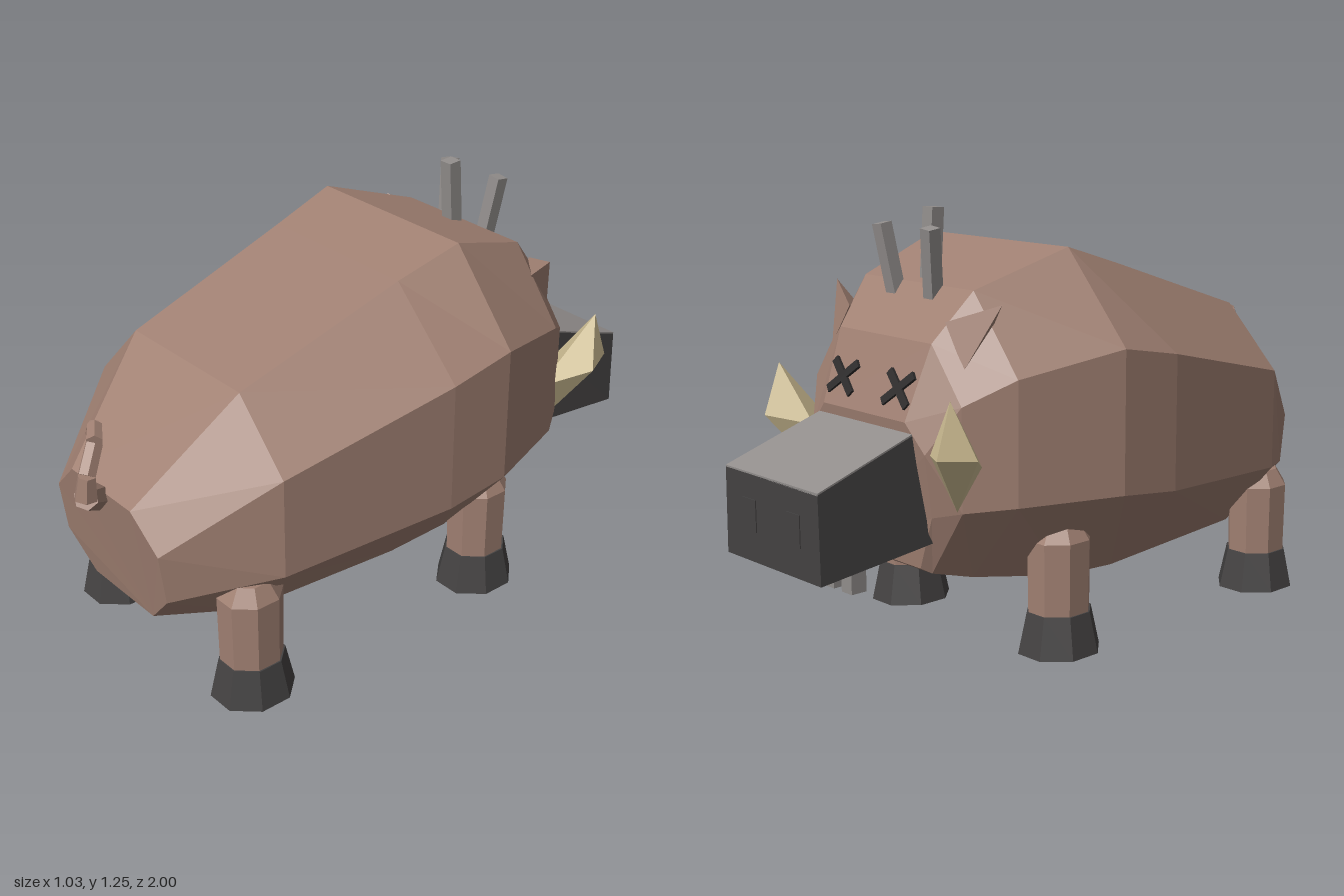
import * as THREE from 'three';
import { ConvexGeometry } from 'three/addons/geometries/ConvexGeometry.js';

const mat = (name, color) => {
  const m = new THREE.MeshStandardMaterial({ color, flatShading: true });
  m.name = name;
  return m;
};

// Skin a list of rings (ordered from +z to -z, counter-clockwise seen from +z) and cap both ends
function loft(rings) {
  const n = rings[0].length, pos = [];
  const tri = (a, b, c) => pos.push(...a, ...b, ...c);
  for (let i = 0; i < rings.length - 1; i++) {
    for (let j = 0; j < n; j++) {
      const k = (j + 1) % n, p = rings[i], q = rings[i + 1];
      tri(p[j], q[j], p[k]);
      tri(p[k], q[j], q[k]);
    }
  }
  const first = rings[0], last = rings[rings.length - 1];
  for (let j = 1; j < n - 1; j++) {
    tri(first[0], first[j], first[j + 1]);
    tri(last[0], last[j + 1], last[j]);
  }
  const g = new THREE.BufferGeometry();
  g.setAttribute('position', new THREE.Float32BufferAttribute(pos, 3));
  g.computeVertexNormals();
  return g;
}

// Symmetric ring from right-hand [x, y, z] points listed bottom to top
const mirrorRing = (pts) => [...pts, ...pts.slice().reverse().map(([x, y, z]) => [-x, y, z])];

export function createModel() {
  const model = new THREE.Group();
  const hide = mat('brownHide', 0xa08072);
  const dark = mat('darkHoof', 0x444242);
  const grey = mat('greyBristle', 0x928e8c);
  const ivory = mat('ivory', 0xd2c196);
  const black = mat('eyeBlack', 0x2e2c2c);

  const add = (name, geo, material, parent = model) => {
    const m = new THREE.Mesh(geo, material);
    m.name = name;
    parent.add(m);
    return m;
  };

  // Straight prism between two points
  const strut = (name, a, b, r0, r1, sides, material) => {
    const p = new THREE.Vector3(...a), q = new THREE.Vector3(...b);
    const dir = q.clone().sub(p);
    const geo = new THREE.CylinderGeometry(r1, r0, dir.length(), sides);
    if (sides === 4) geo.rotateY(Math.PI / 4);
    const m = add(name, geo, material);
    m.position.copy(p).add(q).multiplyScalar(0.5);
    m.quaternion.setFromUnitVectors(new THREE.Vector3(0, 1, 0), dir.normalize());
    return m;
  };

  // Body: octagonal sections as z, bottom [half width, y], side [half width, low y, high y], top [half width, y]
  const sections = [
    [0.56, 0.25, 0.2, 0.43, 0.405, 0.71, 0.245, 0.9],
    [0.02, 0.26, 0.17, 0.513, 0.445, 0.84, 0.27, 1.075],
    [-0.19, 0.27, 0.185, 0.515, 0.47, 0.88, 0.29, 1.138],
    [-0.49, 0.22, 0.235, 0.41, 0.47, 0.82, 0.235, 1.04],
    [-0.61, 0.19, 0.265, 0.32, 0.46, 0.75, 0.2, 0.905],
  ];
  const rump = [[0.145, 0.235, 0.81], [0.25, 0.345, 0.83], [0.25, 0.5, 0.85], [0.145, 0.602, 0.862]];
  const face = [[0.17, 0.28, -0.635], [0.24, 0.44, -0.65], [0.25, 0.62, -0.68], [0.18, 0.7, -0.69]];
  const middle = sections.map(([z, bw, by, sw, lo, hi, tw, ty]) =>
    [[bw, by, z], [sw, lo, z], [sw, hi, z], [tw, ty, z]]);
  add('body', loft([rump, ...middle, face].map(mirrorRing)), hide);

  // Snout with a pale bridge
  const back = [[0.22, 0.365, -0.6], [0.205, 0.695, -0.6]];
  const tip = [[0.215, 0.32, -1], [0.21, 0.563, -1]];
  add('snout', loft([back, tip].map(mirrorRing)), dark);
  add('snoutBridge', loft([
    mirrorRing([[0.205, 0.693, -0.6], [0.205, 0.7, -0.6]]),
    mirrorRing([[0.21, 0.561, -1], [0.21, 0.568, -1]]),
  ]), grey);

  // Small teeth under the snout
  for (const x of [-0.08, 0, 0.08]) {
    add('tooth', new THREE.BoxGeometry(0.045, 0.14, 0.05), grey).position.set(x, 0.3, -0.795);
  }

  // Bristles on the crown
  strut('bristle', [0, 1.03, -0.445], [0, 1.245, -0.43], 0.03, 0.03, 4, grey);

  for (const s of [-1, 1]) {
    const mirrored = (pts) => new ConvexGeometry(pts.map(([x, y, z]) => new THREE.Vector3(s * x, y, z)));

    strut('bristle', [s * 0.08, 0.99, -0.5], [s * 0.105, 1.2, -0.53], 0.028, 0.028, 4, grey);
    add('nostril', new THREE.BoxGeometry(0.06, 0.09, 0.006), dark).position.set(s * 0.1, 0.45, -1);

    add('ear', mirrored([
      [0.21, 0.96, -0.57], [0.29, 0.84, -0.575], [0.28, 0.93, -0.47], [0.36, 1.015, -0.5],
    ]), hide);

    add('tusk', mirrored([
      [0.31, 0.465, -0.62], [0.385, 0.64, -0.752], [0.43, 0.63, -0.65],
      [0.32, 0.57, -0.535], [0.26, 0.62, -0.67], [0.38, 0.79, -0.7],
    ]), ivory);

    // Crossed eyes lying on the sloping face
    const eye = new THREE.Group();
    eye.name = 'eye';
    for (const a of [-0.7, 0.7]) {
      add('eyeStroke', new THREE.BoxGeometry(0.135, 0.024, 0.009), black, eye).rotation.z = a;
    }
    eye.position.set(s * 0.122, 0.78, -0.663);
    eye.rotation.x = 0.34;
    model.add(eye);

    // Legs and hooves
    for (const [name, z] of [['hindLeg', 0.61], ['frontLeg', -0.265]]) {
      const leg = new THREE.Group();
      leg.name = name;
      const turned = (pts) => new THREE.LatheGeometry(
        pts.map(([r, y]) => new THREE.Vector2(r, y)), 8, Math.PI / 8);
      add('shin', turned([[0.095, 0.12], [0.098, 0.33], [0.065, 0.38], [0, 0.38]]), hide, leg);
      add('hoof', turned([[0, 0], [0.127, 0], [0.1, 0.12], [0, 0.12]]), dark, leg);
      leg.position.set(s * 0.333, 0, z);
      leg.scale.x = 0.92;
      model.add(leg);
    }
  }

  // Curled tail
  const tail = [
    [-0.04, 0.56, 0.85, 0.042], [0.1, 0.665, 0.965, 0.034], [0.105, 0.735, 0.96, 0.026],
    [0.08, 0.805, 0.915, 0.025], [0.02, 0.815, 0.875, 0.022], [-0.005, 0.78, 0.87, 0.018],
  ];
  for (let i = 0; i < tail.length - 1; i++) {
    const a = tail[i], b = tail[i + 1];
    strut('tailSegment', a.slice(0, 3), b.slice(0, 3), a[3], b[3], 6, hide);
  }

  return model;
}
